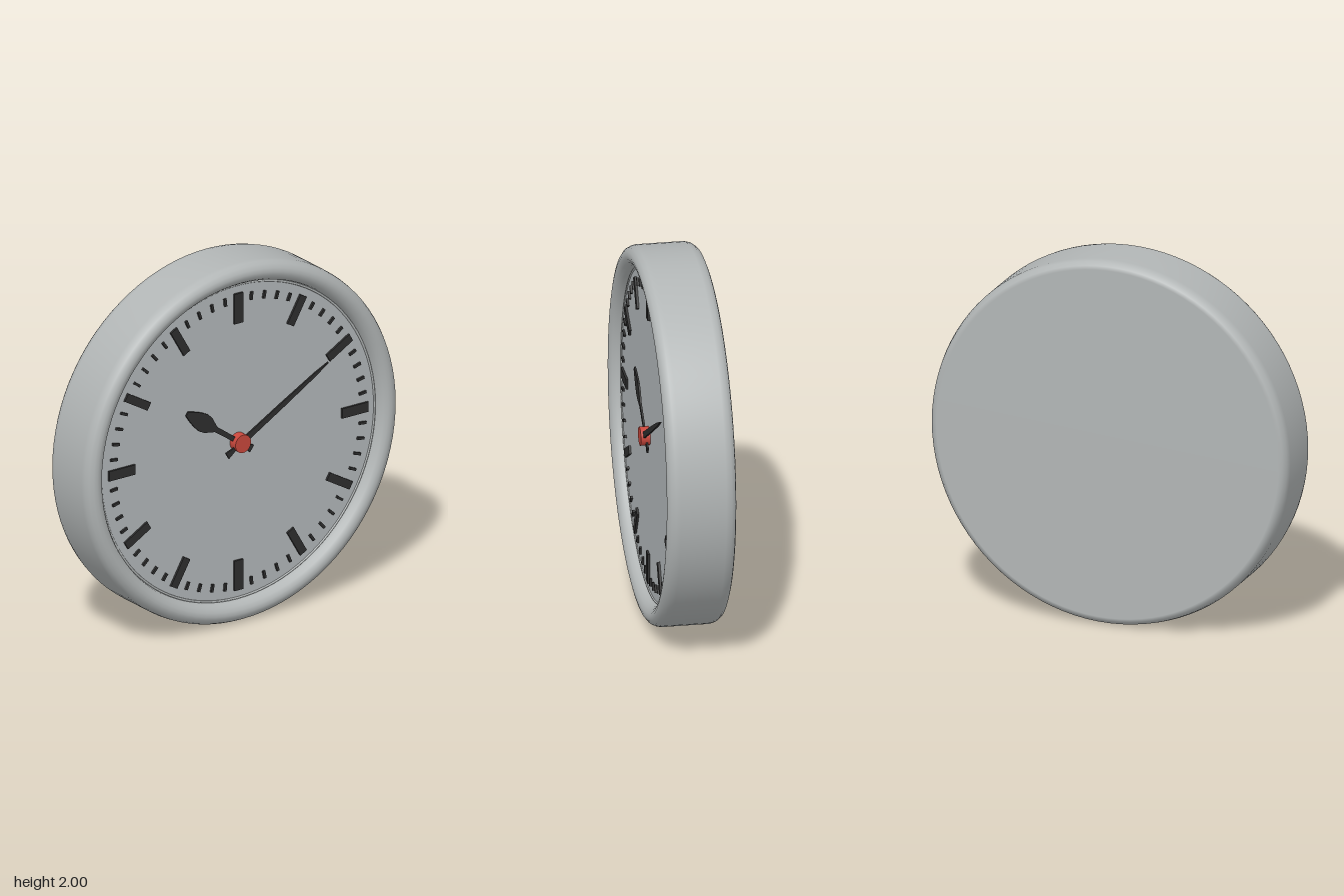
import * as THREE from 'three';

const mat = (name, color, side = THREE.FrontSide) => {
  const m = new THREE.MeshStandardMaterial({ color, side });
  m.name = name;
  return m;
};

export function createModel() {
  const caseGrey = mat('caseGrey', 0xb2b6b6);
  const dialGrey = mat('dialGrey', 0xb2b7b9);
  const black = mat('black', 0x2e2e2e);
  const red = mat('red', 0xc8473c);

  const clock = new THREE.Group();
  clock.name = 'wallClock';
  const face = new THREE.Group();
  face.name = 'clockBody';
  face.position.y = 1;
  clock.add(face);

  const add = (name, geometry, material, parent = face) => {
    const mesh = new THREE.Mesh(geometry, material);
    mesh.name = name;
    parent.add(mesh);
    return mesh;
  };
  const dialZ = 0.12;

  // Case: flat back, straight side, rounded rim and a wall down to the dial
  const profile = [
    [0, -0.183], [0.955, -0.183], [0.975, -0.176], [0.992, -0.155], [1, -0.125],
    [1, 0.115], [0.996, 0.14], [0.985, 0.162], [0.965, 0.177], [0.945, 0.182],
    [0.925, 0.178], [0.905, 0.165], [0.892, 0.145], [0.886, 0.12], [0.885, 0.1],
  ].map(([r, z]) => new THREE.Vector2(r, z));
  add('case', new THREE.LatheGeometry(profile, 96).rotateX(Math.PI / 2), caseGrey);

  // Dial with a thin lip where it meets the case
  add('dial', new THREE.CircleGeometry(0.888, 96), dialGrey).position.z = dialZ;
  add('dialLip', new THREE.TorusGeometry(0.879, 0.006, 8, 96), caseGrey).position.z = dialZ;

  // Hour and minute marks
  const marks = new THREE.Group();
  marks.name = 'marks';
  face.add(marks);
  for (let i = 0; i < 60; i++) {
    const hour = i % 5 === 0;
    const width = i % 15 === 0 ? 0.055 : hour ? 0.046 : 0.014;
    const inner = hour ? 0.665 : 0.782;
    const outer = hour ? 0.833 : 0.825;
    const geometry = new THREE.BoxGeometry(outer - inner, width, 0.012);
    geometry.translate((inner + outer) / 2, 0, dialZ + 0.006);
    geometry.rotateZ((i * Math.PI) / 30);
    add(hour ? 'hourMark' : 'minuteMark', geometry, black, marks);
  }

  // Hands: half outlines as [distance, half width], mirrored along their length
  const hand = (name, half, angle, z) => {
    const lower = half.map(([x, w]) => new THREE.Vector2(x, -w));
    const upper = half.map(([x, w]) => new THREE.Vector2(x, w)).reverse();
    const geometry = new THREE.ExtrudeGeometry(new THREE.Shape([...lower, ...upper]), {
      depth: 0.01, bevelEnabled: false,
    });
    const mesh = add(name, geometry, black);
    mesh.position.z = z;
    mesh.rotation.z = THREE.MathUtils.degToRad(angle);
  };
  hand('hourHand', [
    [-0.092, 0.022], [-0.05, 0.012], [0.19, 0.015], [0.215, 0.027], [0.25, 0.044],
    [0.285, 0.05], [0.33, 0.042], [0.375, 0.028], [0.415, 0.012],
  ], 145, dialZ + 0.014);
  hand('minuteHand', [
    [-0.105, 0.02], [-0.05, 0.01], [0, 0.017], [0.3, 0.015], [0.55, 0.01], [0.645, 0.002],
  ], 30, dialZ + 0.027);

  // Centre cap
  const cap = new THREE.CylinderGeometry(0.05, 0.05, 0.05, 32).rotateX(Math.PI / 2);
  add('centreCap', cap, red).position.z = dialZ + 0.025;

  return clock;
}
